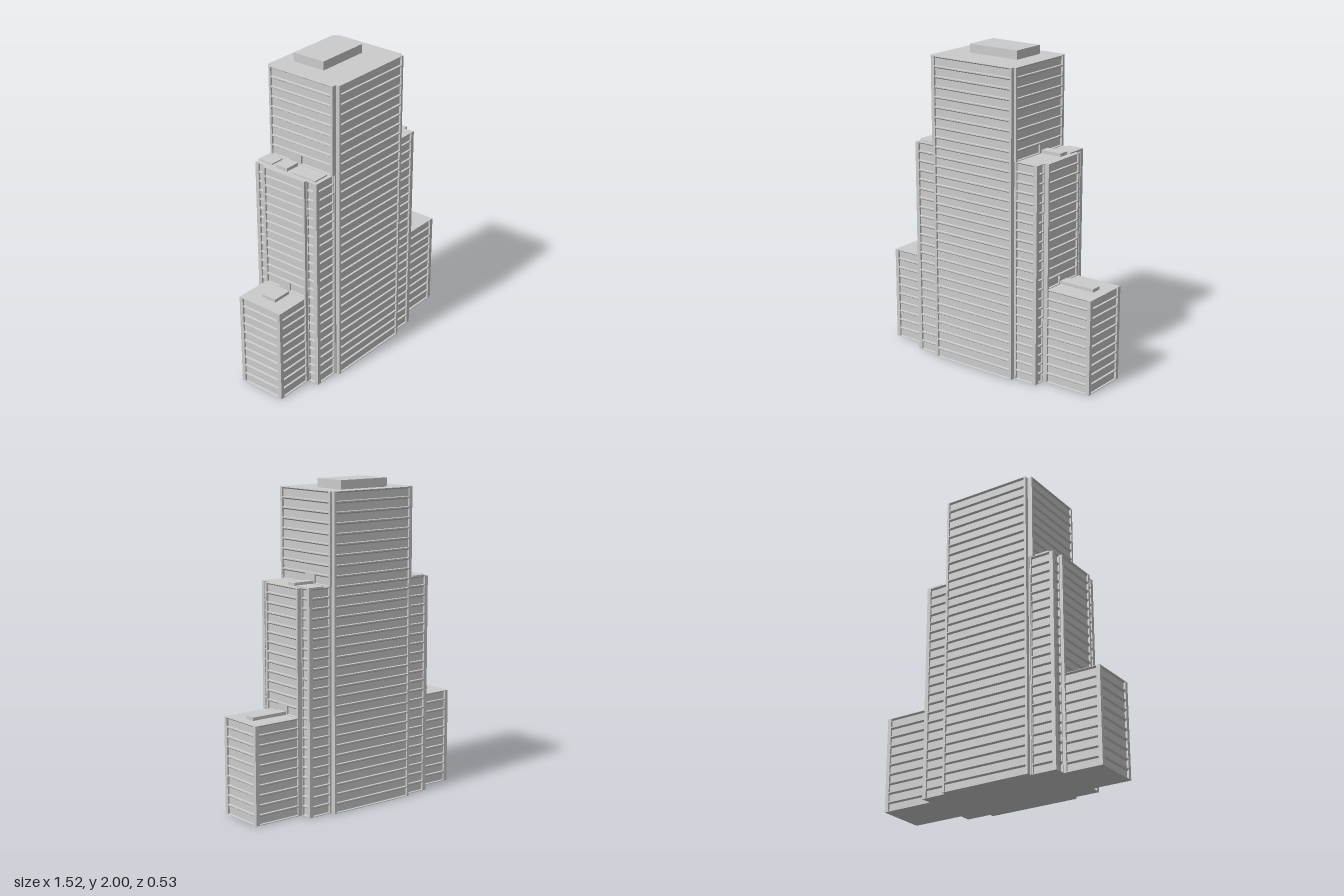
import * as THREE from 'three';

const DEPTH = 0.012;   // window band recess
const PIER = 0.015;    // solid strip at each wall end
const THICK = 0.025;   // facade thickness
const WING = 0.605, MID = 1.385, TOP = 1.945;

// Floor levels of the three building stages
const LEVELS = [];
for (const [from, to, n] of [[0, WING, 10], [WING, MID, 13], [MID, TOP, 9]]) {
  for (let i = 0; i < n; i++) LEVELS.push(from + (to - from) * i / n);
}
LEVELS.push(TOP);

export function createModel() {
  const model = new THREE.Group();
  const mat = new THREE.MeshStandardMaterial({ color: 0xcccccc, flatShading: true });

  function box(name, x0, x1, y0, y1, z0, z1) {
    const m = new THREE.Mesh(new THREE.BoxGeometry(x1 - x0, y1 - y0, z1 - z0), mat);
    m.position.set((x0 + x1) / 2, (y0 + y1) / 2, (z0 + z1) / 2);
    m.name = name;
    model.add(m);
  }

  // Wall with one recessed band per storey; axis 'x' or 'z' is its normal
  function wall(name, axis, sign, plane, a, b, y0, y1) {
    const s = new THREE.Shape();
    s.moveTo(-THICK, y0);
    s.lineTo(0, y0);
    for (let i = 0; i < LEVELS.length - 1; i++) {
      const lo = LEVELS[i], hi = LEVELS[i + 1];
      if (lo < y0 - 0.001 || hi > y1 + 0.001) continue;
      s.lineTo(0, lo + 0.004);
      s.lineTo(-DEPTH, lo + 0.006);
      s.lineTo(-DEPTH, hi - 0.011);
      s.lineTo(0, hi - 0.003);
    }
    s.lineTo(0, y1);
    s.lineTo(-THICK, y1);
    const len = b - a - 2 * PIER;
    const geo = new THREE.ExtrudeGeometry(s, { depth: len, bevelEnabled: false });
    geo.translate(0, 0, -len / 2);
    const m = new THREE.Mesh(geo, mat);
    const mid = (a + b) / 2;
    if (axis === 'x') {
      m.rotation.y = sign > 0 ? 0 : Math.PI;
      m.position.set(plane, 0, mid);
    } else {
      m.rotation.y = -sign * Math.PI / 2;
      m.position.set(mid, 0, plane);
    }
    m.name = name;
    model.add(m);

    // Corner piers
    const inner = plane - sign * THICK;
    const p0 = Math.min(plane, inner), p1 = Math.max(plane, inner);
    for (const [c0, c1] of [[a, a + PIER], [b - PIER, b]]) {
      if (axis === 'x') box('cornerPier', p0, p1, y0, y1, c0, c1);
      else box('cornerPier', c0, c1, y0, y1, p0, p1);
    }
  }

  // Solid cores, set back behind the banded walls
  const s = 0.02;
  box('towerCore', -0.34, 0.255, 0, TOP, -0.265 + s, 0.265 - s);
  box('towerSideCore', -0.37 + s, 0.27 - s, 0, TOP, -0.24, 0.24);
  box('middleCore', -0.51 + s, 0.42 - s, 0, MID, -0.235 + s, 0.235 - s);
  box('middleSideCore', -0.53 + s, 0.45 - s, 0, MID, -0.16, 0.16);
  box('wingCore', -0.765 + s, 0.76 - s, 0, WING, -0.16 + s, 0.16 - s);

  // Front and back walls
  for (const d of [1, -1]) {
    wall('towerWall', 'z', d, d * 0.265, -0.34, 0.255, 0, TOP);
    wall('middleLeftWall', 'z', d, d * 0.235, 0.255, 0.42, 0, MID);
    wall('middleRightWall', 'z', d, d * 0.235, -0.51, -0.34, 0, MID);
    wall('leftWingWall', 'z', d, d * 0.16, 0.435, 0.76, 0, WING);
    wall('rightWingWall', 'z', d, d * 0.16, -0.765, -0.515, 0, WING);
  }

  // Side walls: tower, middle stage with its set-back corners, wings
  for (const [d, tower, corner, middle, wing] of
    [[1, 0.27, 0.42, 0.45, 0.76], [-1, -0.37, -0.51, -0.53, -0.765]]) {
    wall('towerSideWall', 'x', d, tower, -0.24, 0.24, MID, TOP);
    wall('middleCornerWall', 'x', d, corner, 0.15, 0.235, 0, MID);
    wall('middleCornerWall', 'x', d, corner, -0.235, -0.15, 0, MID);
    wall('middleSideWall', 'x', d, middle, -0.16, 0.16, 0, MID);
    wall('wingEndWall', 'x', d, wing, -0.16, 0.16, 0, WING);

    // Solid wall panels behind the roof accesses
    const panel = (x, y, z0, z1) =>
      box('roofAccessPanel', Math.min(x, x - d * s), Math.max(x, x - d * s), y, y + 0.061, z0, z1);
    panel(tower, MID, -0.09, 0);
    panel(middle, WING, -0.05, 0.035);
  }

  // Rooftop structures
  box('penthouse', -0.22, 0.135, TOP, 2, -0.175, 0.05);
  box('roofUnit', -0.48, -0.385, MID, 1.393, -0.235, -0.13);
  box('roofUnit', -0.49, -0.39, MID, 1.405, -0.09, -0.005);
  box('roofUnit', -0.49, -0.385, MID, 1.393, 0.04, 0.21);
  box('roofUnit', 0.315, 0.42, MID, 1.393, -0.235, -0.105);
  box('roofWalkway', 0.27, 0.41, MID, 1.405, -0.08, -0.015);
  box('roofUnit', -0.68, -0.555, WING, 0.625, -0.055, 0.05);
  box('roofWalkway', 0.45, 0.69, WING, 0.625, -0.04, 0.03);

  return model;
}
